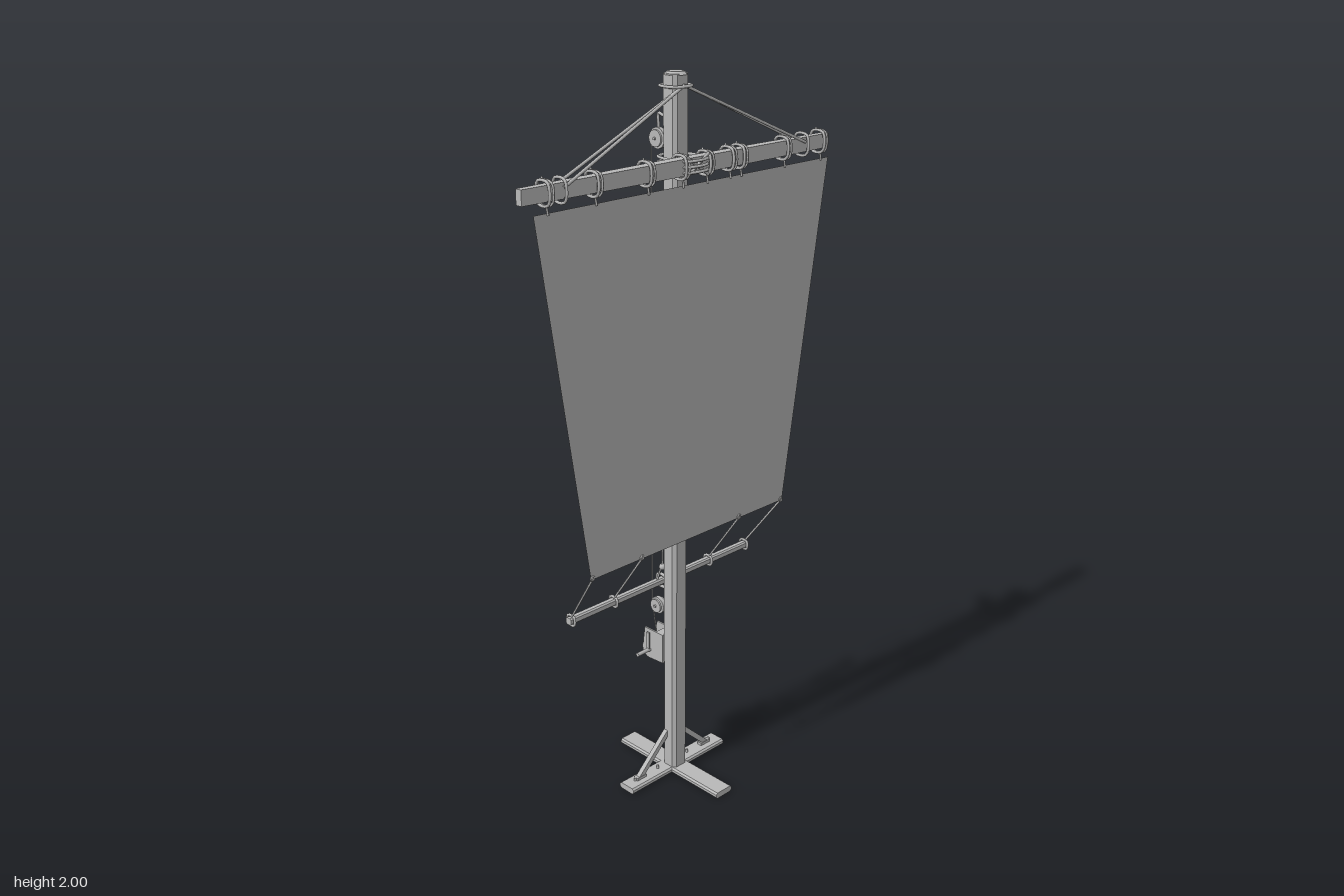
import * as THREE from 'three';

const wood = new THREE.MeshStandardMaterial({ color: 0xb8b8b8 });
wood.name = 'grey timber and rope';
const cloth = new THREE.MeshStandardMaterial({ color: 0xb4b4b4, side: THREE.DoubleSide });
cloth.name = 'grey sailcloth';
const CX = 0.012; // mast axis
const V = (x, y, z) => new THREE.Vector3(x, y, z);

export function createModel() {
  const model = new THREE.Group();

  const add = (name, geo, x = 0, y = 0, z = 0, mat = wood) => {
    const m = new THREE.Mesh(geo, mat);
    m.name = name;
    m.position.set(x, y, z);
    model.add(m);
    return m;
  };

  // Beam with chamfered long edges, centred, running along local z
  const beam = (w, h, len, c) => {
    const a = w / 2, b = h / 2, s = new THREE.Shape();
    s.setFromPoints([[-a + c, -b], [a - c, -b], [a, -b + c], [a, b - c], [a - c, b], [-a + c, b], [-a, b - c], [-a, -b + c]]
      .map(([x, y]) => new THREE.Vector2(x, y)));
    return new THREE.ExtrudeGeometry(s, { depth: len, bevelEnabled: false }).translate(0, 0, -len / 2);
  };

  // Straight or curved rope through points
  const rope = (name, pts, r = 0.003, closed = false) => {
    const curve = closed || pts.length > 3 ? new THREE.CatmullRomCurve3(pts, closed) : null;
    if (curve) return add(name, new THREE.TubeGeometry(curve, pts.length * 5, r, 6, closed));
    for (let i = 0; i + 1 < pts.length; i++) {
      const line = new THREE.LineCurve3(pts[i], pts[i + 1]);
      add(name, new THREE.TubeGeometry(line, 1, r, 6));
    }
  };

  // Rectangular loop of rope around a beam that runs along x
  const loopX = (name, x, y, z, h, d, r = 0.004, skew = 0) => rope(name, [
    V(x - skew, y - h, z - d), V(x - skew, y + h, z - d), V(x + skew, y + h, z + d), V(x + skew, y - h, z + d)], r, true);

  // Mast, slightly thinner at the top
  const mastGeo = beam(0.054, 0.05, 1.985, 0.009).rotateX(-Math.PI / 2);
  add('mast', mastGeo, CX, 1.0025, -0.002);
  add('mastCap', new THREE.CylinderGeometry(0.022, 0.032, 0.008, 8).rotateY(Math.PI / 8), CX, 1.996, -0.002);

  // Crossed feet
  add('footFrontBack', beam(0.062, 0.018, 0.398, 0.005), CX, 0.011, -0.002);
  add('footSideways', beam(0.056, 0.018, 0.37, 0.005).rotateY(Math.PI / 2), CX, 0.0115, -0.01);

  // Diagonal braces, with a rail and pegs on the sideways foot
  for (const s of [-1, 1]) {
    const brace = add('brace', new THREE.BoxGeometry(0.17, 0.015, 0.014), CX + s * 0.082, 0.073, -0.012);
    brace.rotation.z = -s * 0.76;
    add('braceToe', new THREE.BoxGeometry(0.035, 0.01, 0.016), CX + s * 0.13, 0.024, -0.012);
    for (const x of [0.06, 0.15]) add('footPeg', new THREE.CylinderGeometry(0.004, 0.004, 0.012, 8), CX + s * x, 0.024, -0.012);
  }

  // Yard, tapering in depth toward the tips
  const yardGeo = new THREE.BoxGeometry(1.06, 0.042, 0.03, 12, 1, 1);
  const p = yardGeo.attributes.position;
  for (let i = 0; i < p.count; i++) {
    const t = Math.abs(p.getX(i)) / 0.53;
    p.setZ(i, p.getZ(i) * (1 - 0.35 * t * t));
    p.setY(i, p.getY(i) * (1 - 0.1 * t));
  }
  yardGeo.computeVertexNormals();
  const yard = add('yard', yardGeo.toNonIndexed(), -0.005, 1.778, 0.054);
  yard.geometry.computeVertexNormals();

  // Sail
  const sail = new THREE.Shape([[-0.355, 0.767], [0.378, 0.767], [0.525, 1.733], [-0.503, 1.733]].map(([x, y]) => new THREE.Vector2(x, y)));
  add('sail', new THREE.ShapeGeometry(sail), 0, 0, 0.064, cloth);

  // Loops and short ties that hang the sail on the yard
  for (const x of [-0.465, -0.317, -0.148, -0.03, 0.055, 0.138, 0.178, 0.345, 0.49]) {
    loopX('yardLoop', x, 1.778, 0.054, 0.025, 0.019);
    loopX('yardLoop', x + 0.008, 1.778, 0.054, 0.025, 0.019, 0.003, 0.003);
    rope('sailTie', [V(x, 1.755, 0.064), V(x + 0.004, 1.728, 0.066)], 0.003);
    rope('tieTail', [V(x, 1.803, 0.05), V(x + 0.012, 1.81, 0.038)], 0.003);
  }

  // Lashing that binds the yard to the mast
  for (let i = 0; i < 3; i++) {
    const y = 1.765 + i * 0.014;
    rope('mastLashing', [V(CX - 0.034, y, -0.031), V(CX + 0.034, y, -0.031), V(CX + 0.04, y, 0.072), V(CX - 0.04, y, 0.072)], 0.004, true);
  }
  for (const s of [-1, 1]) {
    rope('crossLashing', [V(CX - s * 0.04, 1.752, 0.074), V(CX + s * 0.04, 1.806, 0.074)], 0.004);
  }

  // Paired stays from the masthead to the yard
  rope('mastheadLoop', [V(CX - 0.029, 1.965, -0.029), V(CX + 0.029, 1.965, -0.029), V(CX + 0.029, 1.965, 0.026), V(CX - 0.029, 1.965, 0.026)], 0.004, true);
  for (const x of [-0.415, 0.425]) {
    for (const z of [0.036, 0.068]) rope('stay', [V(CX, 1.968, 0.029), V(x, 1.785, z)], 0.004);
    loopX('stayLoop', x, 1.778, 0.054, 0.025, 0.019);
  }

  // Lower bar and the sheets that pull the sail foot to it
  add('lowerBar', beam(0.02, 0.02, 0.695, 0.004).rotateY(Math.PI / 2), 0.013, 0.595, -0.055);
  for (const [top, low] of [[-0.35, -0.325], [-0.175, -0.172], [0.198, 0.198], [0.373, 0.35]]) {
    rope('sheet', [V(top, 0.768, 0.064), V(low, 0.606, -0.052)], 0.003);
    loopX('barLoop', low, 0.595, -0.055, 0.012, 0.012);
    add('sailEyelet', new THREE.TorusGeometry(0.006, 0.0025, 6, 10), top, 0.77, 0.064);
  }

  // Pulleys on brackets behind the mast
  const pulley = (y, z, r) => {
    add('pulleyWheel', new THREE.CylinderGeometry(r, r, 0.012, 20).rotateZ(Math.PI / 2), CX, y, z);
    for (const s of [-1, 1]) add('pulleyCheek', new THREE.CylinderGeometry(r * 0.8, r * 0.8, 0.005, 20).rotateZ(Math.PI / 2), CX + s * 0.011, y, z);
    add('pulleyAxle', new THREE.CylinderGeometry(0.004, 0.004, 0.036, 8).rotateZ(Math.PI / 2), CX, y, z);
  };
  pulley(1.83, -0.063, 0.027);
  pulley(0.513, -0.068, 0.025);
  rope('upperHook', [V(CX, 1.9, -0.024), V(CX, 1.888, -0.045), V(CX, 1.892, -0.062), V(CX, 1.855, -0.063)], 0.004);
  rope('topHook', [V(CX, 1.975, -0.024), V(CX, 1.968, -0.034), V(CX, 1.978, -0.04), V(CX, 1.99, -0.036)], 0.004);
  rope('lowerBracket', [V(CX, 0.515, -0.024), V(CX, 0.513, -0.06)], 0.005);

  // Hoisting line
  rope('hoistLine', [V(CX, 1.82, -0.038), V(CX, 0.64, -0.052)], 0.003);
  rope('haulLine', [V(CX, 1.83, -0.09), V(CX, 0.513, -0.094)], 0.002);
  rope('winchLine', [V(CX, 0.51, -0.093), V(CX, 0.41, -0.075)], 0.002);
  rope('barBridle', [V(CX - 0.02, 0.6, -0.055), V(CX, 0.65, -0.052), V(CX + 0.02, 0.6, -0.055)], 0.003);
  add('bridleKnot', new THREE.SphereGeometry(0.01, 10, 8), CX, 0.638, -0.052);
  loopX('bridleLoop', CX, 0.595, -0.055, 0.015, 0.015, 0.005);

  // Winch: side plates, drum and crank
  const plate = new THREE.Shape();
  plate.moveTo(0.025, 0.35);
  plate.lineTo(0.025, 0.44);
  plate.lineTo(0.098, 0.44);
  plate.lineTo(0.105, 0.39);
  plate.absarc(0.08, 0.375, 0.028, 0.5, -Math.PI / 2, true);
  plate.lineTo(0.025, 0.35);
  for (const s of [-1, 1]) {
    const g = new THREE.ExtrudeGeometry(plate, { depth: 0.005, bevelEnabled: false }).rotateY(Math.PI / 2);
    add('winchPlate', g, CX + s * 0.024 - 0.0025, 0, 0);
  }
  add('winchBack', new THREE.BoxGeometry(0.052, 0.09, 0.005), CX, 0.395, -0.028);
  add('winchTop', new THREE.BoxGeometry(0.048, 0.005, 0.03), CX, 0.437, -0.04);
  add('winchDrum', new THREE.CylinderGeometry(0.022, 0.022, 0.046, 18).rotateZ(Math.PI / 2), CX, 0.375, -0.077);
  add('winchShaft', new THREE.CylinderGeometry(0.005, 0.005, 0.07, 8).rotateZ(Math.PI / 2), CX - 0.005, 0.375, -0.077);
  add('crankArm', new THREE.BoxGeometry(0.005, 0.06, 0.01), -0.021, 0.402, -0.077);
  add('crankHandle', new THREE.CylinderGeometry(0.006, 0.006, 0.042, 10).rotateZ(Math.PI / 2), -0.043, 0.376, -0.077);

  return model;
}
